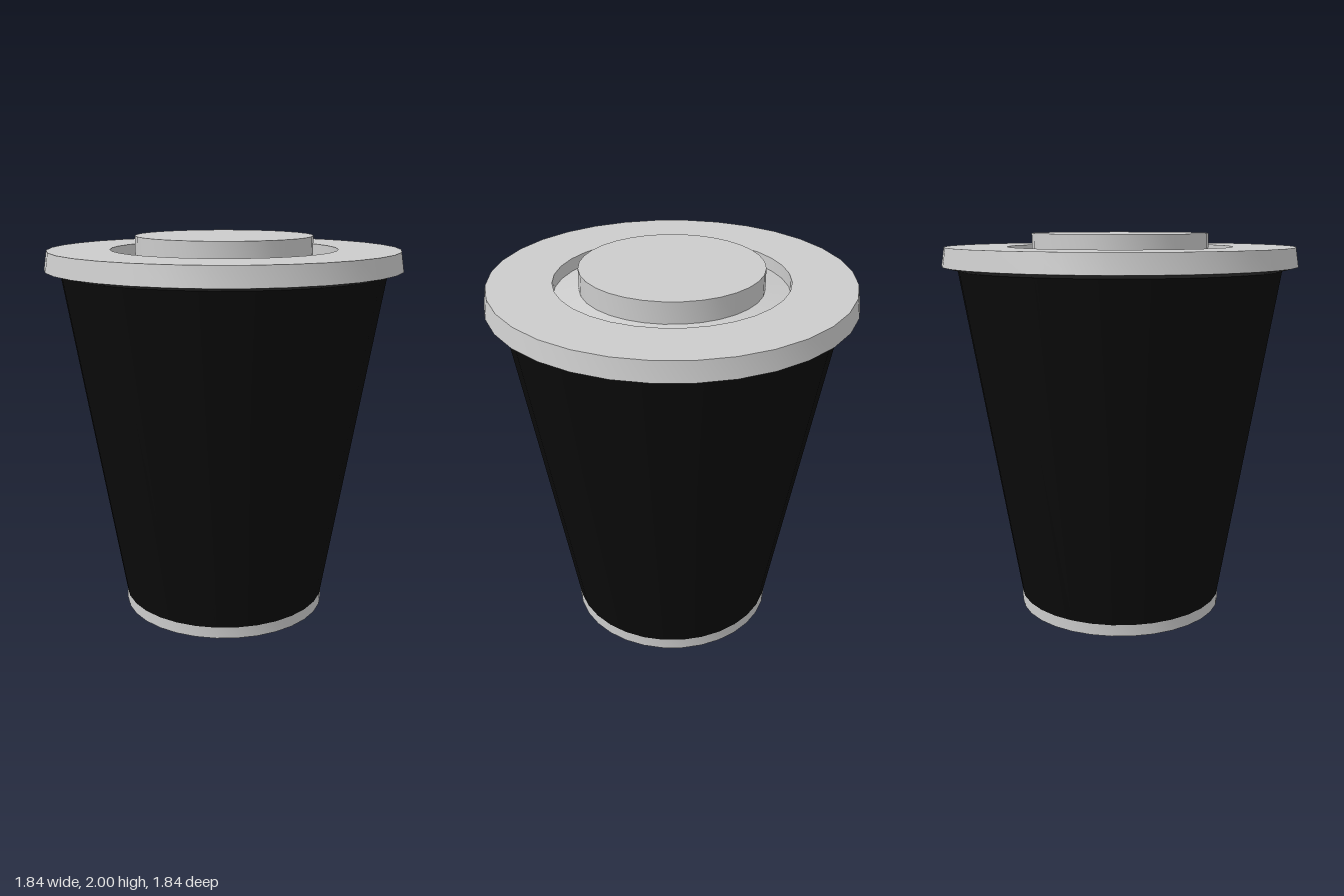
import * as THREE from 'three';
import { toCreasedNormals } from 'three/addons/utils/BufferGeometryUtils.js';

const SIDES = 32;

// Turn a bottom-to-top outline of [radius, height] points around the y axis
function turned(name, outline, color) {
  const points = outline.map(([r, y]) => new THREE.Vector2(r, y));
  const geometry = toCreasedNormals(new THREE.LatheGeometry(points, SIDES), Math.PI / 7);
  const material = new THREE.MeshStandardMaterial({ color, side: THREE.DoubleSide });
  const mesh = new THREE.Mesh(geometry, material);
  mesh.name = name;
  return mesh;
}

export function createModel() {
  const cup = new THREE.Group();
  cup.name = 'takeawayCup';

  // Pale foot with a flat bottom
  cup.add(turned('base', [[0, 0], [0.545, 0], [0.545, 0.06]], 0xcccccc));

  // Black tapered wall
  cup.add(turned('cupWall', [[0.545, 0.06], [0.84, 1.815]], 0x0a0a0a));

  // Shaded, slightly sloping underside of the lid
  cup.add(turned('lidUnderside', [[0.84, 1.815], [0.92, 1.835]], 0x333333));

  // Lid rim, flat top, and sunken ring around the raised centre
  cup.add(turned('lid', [
    [0.92, 1.835], [0.905, 1.932],
    [0.585, 1.932], [0.585, 1.865],
    [0.457, 1.892],
  ], 0xcccccc));

  // Raised disc in the middle of the lid
  cup.add(turned('lidCentre', [[0.457, 1.892], [0.457, 2], [0, 2]], 0xcccccc));

  return cup;
}
